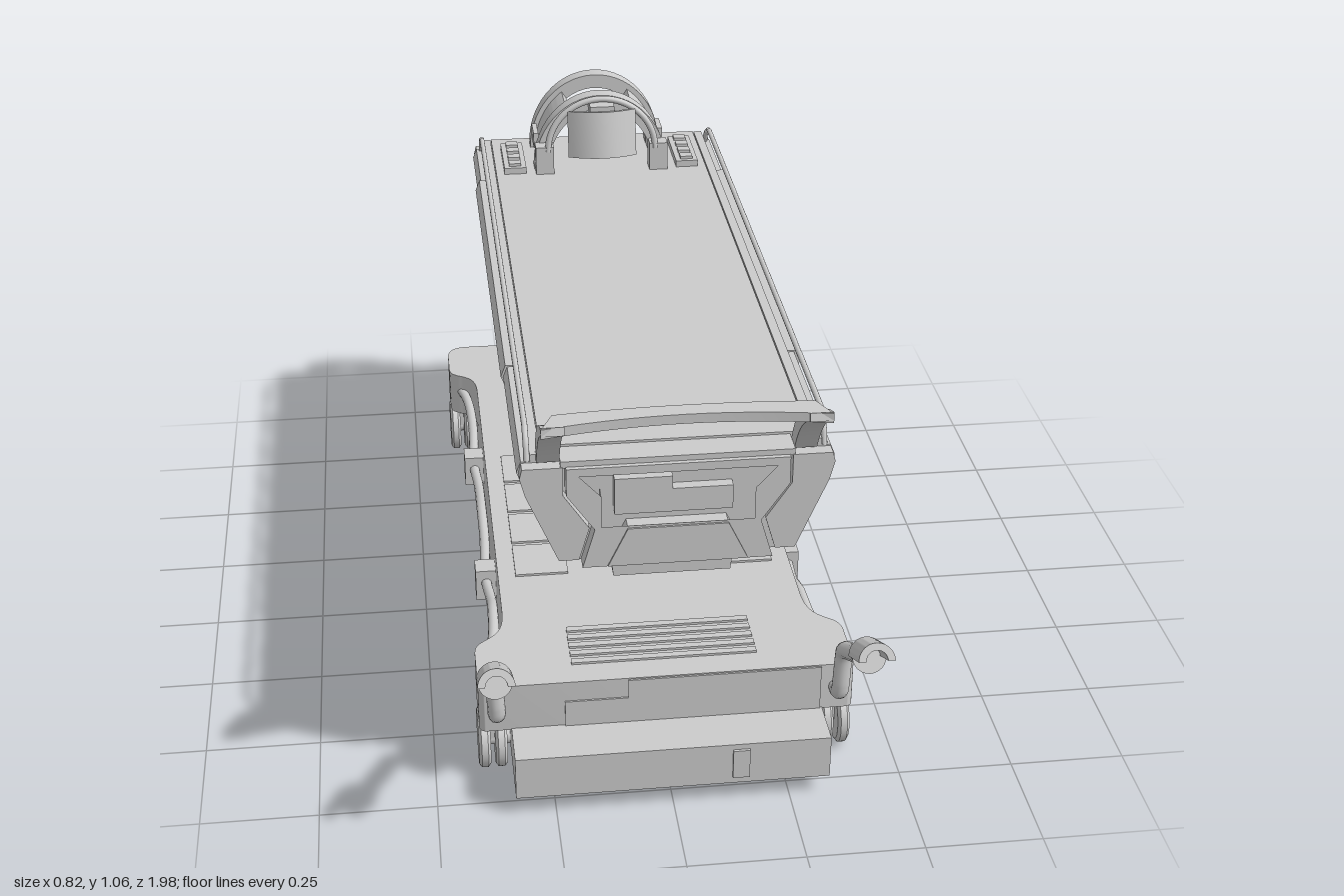
import * as THREE from 'three';
import { toCreasedNormals } from 'three/addons/utils/BufferGeometryUtils.js';

const mat = new THREE.MeshStandardMaterial({ color: 0xcccccc });

export function createModel() {
  const root = new THREE.Group();
  const add = (name, geo, parent = root) => {
    const m = new THREE.Mesh(geo, mat);
    m.name = name;
    parent.add(m);
    return m;
  };
  const box = (name, w, h, d, x, y, z) => {
    const m = add(name, new THREE.BoxGeometry(w, h, d));
    m.position.set(x, y, z);
    return m;
  };
  const poly = (pts) => new THREE.Shape(pts.map((p) => new THREE.Vector2(...p)));
  const smooth = (shape, depth) => toCreasedNormals(
    new THREE.ExtrudeGeometry(shape, { depth, bevelEnabled: false, curveSegments: 14 }), 0.6);
  // Extrude an (x, y) outline from z0 to z1
  const alongZ = (name, shape, z0, z1, parent) => add(name, smooth(shape, z1 - z0).translate(0, 0, z0), parent);
  // Extrude an (x, -z) plan from y0 to y1
  const alongY = (name, shape, y0, y1) =>
    add(name, smooth(shape, y1 - y0).rotateX(-Math.PI / 2).translate(0, y0, 0));
  const tube = (name, pts, r, tension = 0.5) => {
    const curve = new THREE.CatmullRomCurve3(pts.map((p) => new THREE.Vector3(...p)), false, 'catmullrom', tension);
    return add(name, new THREE.TubeGeometry(curve, 64, r, 12));
  };
  const mirrored = (half) => poly([...half, ...half.map(([x, y]) => [-x, y]).reverse()]);

  // Base: low plinth and waisted upper cover
  box('basePlinth', 0.67, 0.1, 1.8, 0, 0.098, -0.1);
  const plan = new THREE.Shape();
  plan.moveTo(-0.385, -0.69);
  plan.lineTo(0.385, -0.69);
  plan.quadraticCurveTo(0.403, -0.69, 0.403, -0.67);
  plan.lineTo(0.403, -0.56);
  plan.bezierCurveTo(0.4, -0.5, 0.337, -0.53, 0.335, -0.42);
  plan.lineTo(0.335, 0.64);
  plan.bezierCurveTo(0.337, 0.74, 0.4, 0.7, 0.403, 0.76);
  plan.lineTo(0.403, 0.84);
  plan.quadraticCurveTo(0.4, 0.89, 0.35, 0.89);
  plan.lineTo(-0.35, 0.89);
  plan.quadraticCurveTo(-0.4, 0.89, -0.403, 0.84);
  plan.lineTo(-0.403, 0.76);
  plan.bezierCurveTo(-0.4, 0.7, -0.337, 0.74, -0.335, 0.64);
  plan.lineTo(-0.335, -0.42);
  plan.bezierCurveTo(-0.337, -0.53, -0.4, -0.5, -0.403, -0.56);
  plan.lineTo(-0.403, -0.67);
  plan.quadraticCurveTo(-0.403, -0.69, -0.385, -0.69);
  alongY('baseCover', plan, 0.145, 0.258);
  alongZ('frontCoverPanel', poly([[-0.22, 0.147], [0.33, 0.147], [0.33, 0.255], [-0.085, 0.255],
    [-0.085, 0.21], [-0.22, 0.21]]), 0.68, 0.694);
  box('frontSocket', 0.036, 0.07, 0.01, 0.143, 0.1, 0.801);

  // Vents on the base top
  for (let i = 0; i < 5; i++) box('ventSlat', 0.4, 0.006, 0.016, 0, 0.26, 0.5 + i * 0.03);
  for (const s of [-1, 1]) {
    for (let i = 0; i < 4; i++) box('sideGrillePlate', 0.12, 0.006, 0.125, s * 0.235, 0.26, -0.21 + i * 0.14);
  }

  for (const s of [-1, 1]) {
    // Twin-wheel castors
    for (const z of [0.605, -0.8]) {
      for (const x of [0.356, 0.392]) {
        const outline = [[0, -0.013], [0.06, -0.013], [0.068, -0.007], [0.068, 0.007], [0.06, 0.013], [0, 0.013]];
        const wheel = add('wheel', toCreasedNormals(
          new THREE.LatheGeometry(outline.map((p) => new THREE.Vector2(...p)), 32), 0.6));
        wheel.rotation.z = Math.PI / 2;
        wheel.position.set(s * x, 0.07, z);
      }
      const axle = add('axle', new THREE.CylinderGeometry(0.02, 0.02, 0.07, 16));
      axle.rotation.z = Math.PI / 2;
      axle.position.set(s * 0.365, 0.07, z);
      box('castorFork', 0.012, 0.08, 0.04, s * 0.374, 0.115, z);
    }
    // Cable clipped along the side of the base
    tube('sideCable', [[0.385, 0.2, 0.56], [0.358, 0.207, 0.44], [0.352, 0.208, 0.33], [0.352, 0.182, 0.24],
      [0.358, 0.168, 0.13], [0.352, 0.178, -0.02], [0.352, 0.19, -0.14], [0.352, 0.17, -0.29],
      [0.358, 0.17, -0.4], [0.352, 0.19, -0.55], [0.36, 0.205, -0.68], [0.39, 0.213, -0.78]]
      .map(([x, y, z]) => [s * x, y, z]), 0.012);
    for (const z of [0.13, -0.4]) box('cableClip', 0.05, 0.078, 0.052, s * 0.357, 0.163, z);

    // Steering handle: bent tube, socket and half-shell grip
    tube('handleTube', [[0.366, 0.2, 0.68], [0.366, 0.205, 0.712], [0.367, 0.23, 0.72], [0.37, 0.3, 0.72],
      [0.37, 0.325, 0.735], [0.374, 0.35, 0.78], [0.375, 0.42, 0.9]].map(([x, y, z]) => [s * x, y, z]), 0.019);
    const grip = new THREE.Group();
    grip.name = 'handleGrip';
    grip.position.set(s * 0.375, 0.425, 0.895);
    grip.rotation.x = -0.48;
    root.add(grip);
    add('gripSocket', new THREE.CylinderGeometry(0.035, 0.028, 0.05, 24).rotateX(Math.PI / 2), grip);
    const shell = new THREE.Shape();
    shell.absarc(0, 0, 0.037, 0, Math.PI, false);
    shell.absarc(0, 0, 0.022, Math.PI, 0, true);
    alongZ('gripShell', shell, 0, 0.1, grip);
  }

  // Telescopic column, widening upwards
  const tiers = [[0.118, 0, -0.61, 0.255, 0.335], [0.128, 0.05, -0.65, 0.335, 0.41],
    [0.141, 0.1, -0.675, 0.41, 0.515], [0.151, 0.13, -0.7, 0.515, 0.63]];
  for (const [w, zf, zb, y0, y1] of tiers) {
    const c = new THREE.Shape(), r = 0.085, f = -zf, b = -zb, o = -0.012;
    c.moveTo(o - w + r, f);
    c.lineTo(o + w - r, f);
    c.quadraticCurveTo(o + w, f, o + w, f + r);
    c.lineTo(o + w, b - r);
    c.quadraticCurveTo(o + w, b, o + w - r, b);
    c.lineTo(o - w + r, b);
    c.quadraticCurveTo(o - w, b, o - w, b - r);
    c.lineTo(o - w, f + r);
    c.quadraticCurveTo(o - w, f, o - w + r, f);
    alongY('columnTier', c, y0, y1);
  }

  // Table: tapered body with recessed end frames
  const body = [[0.305, 0.853], [0.314, 0.83], [0.3, 0.79], [0.236, 0.638], [0.21, 0.638], [0.21, 0.622]];
  alongZ('tableBody', mirrored(body), -0.85, 0.78);
  const rim = mirrored([[0.22, 0.85], [0.22, 0.79], [0.165, 0.71], [0.19, 0.624]]);
  rim.holes.push(mirrored([[0.195, 0.832], [0.152, 0.785], [0.152, 0.715]]));
  const lowerPanel = mirrored([[0.1, 0.71], [0.14, 0.626]]);
  const plate = poly([[-0.125, 0.735], [0.11, 0.735], [0.11, 0.787], [-0.01, 0.787], [-0.01, 0.815], [-0.125, 0.815]]);
  for (const [z0, z1, out] of [[0.78, 0.815, 1], [-0.885, -0.85, -1]]) {
    alongZ('endFrame', rim, z0, z1);
    alongZ('endPlate', plate, z0 + (out < 0 ? 0.012 : 0), z1 - (out > 0 ? 0.012 : 0));
    alongZ('endLowerPanel', lowerPanel, z0 - (out < 0 ? 0.004 : 0), z1 + (out > 0 ? 0.004 : 0));
    // Corner wings close the ends outside the frame
    for (const s of [-1, 1]) {
      alongZ('endWing', poly([[0.226, 0.85], [0.305, 0.85], [0.31, 0.83], [0.3, 0.79], [0.236, 0.638],
        [0.196, 0.638], [0.175, 0.71], [0.226, 0.787]].map(([x, y]) => [s * x, y])),
      z0 + (out < 0 ? 0.008 : 0), z1 - (out > 0 ? 0.008 : 0));
    }
  }
  alongZ('underTableBox', mirrored([[0.13, 0.63], [0.12, 0.545]]), 0.4, 0.73);
  box('tableDeck', 0.53, 0.022, 1.62, 0, 0.856, -0.065);

  for (const s of [-1, 1]) {
    const side = (pts) => poly(pts.map(([x, y]) => [s * x, y]));
    alongZ('sideBand', side([[0.28, 0.856], [0.309, 0.856], [0.319, 0.83], [0.303, 0.788], [0.28, 0.788]]), -0.63, 0.38);
    alongZ('sidePocket', side([[0.25, 0.725], [0.277, 0.725], [0.294, 0.765], [0.25, 0.765]]), 0.41, 0.715);
    box('edgeTrim', 0.02, 0.02, 1.65, s * 0.277, 0.858, -0.045);
    // Thin side rail with bent ends
    tube('sideRail', [[0.293, 0.85, 0.775], [0.293, 0.88, 0.765], [0.293, 0.905, 0.735], [0.293, 0.909, 0.69],
      [0.293, 0.909, 0], [0.293, 0.909, -0.74], [0.293, 0.902, -0.79], [0.293, 0.88, -0.825], [0.293, 0.85, -0.84]]
      .map(([x, y, z]) => [s * x, y, z]), 0.006, 0.3);
  }

  // Push bar: curved blades joined by a bowed bar
  const blade = new THREE.Shape();
  blade.moveTo(0.755, 0.855);
  blade.quadraticCurveTo(0.8, 0.965, 0.925, 1.006);
  blade.lineTo(0.93, 0.99);
  blade.quadraticCurveTo(0.84, 0.95, 0.79, 0.855);
  for (const s of [-1, 1]) {
    add('pushBarBlade', smooth(blade, 0.045).rotateY(-Math.PI / 2).translate(s * 0.253 + 0.0225, 0, 0));
  }
  const bar = new THREE.Shape();
  bar.moveTo(-0.275, -0.93);
  bar.quadraticCurveTo(0, -0.87, 0.275, -0.93);
  bar.lineTo(0.25, -0.875);
  bar.quadraticCurveTo(0, -0.85, -0.25, -0.875);
  alongY('pushBarGrip', bar, 0.985, 1.005);
  box('pushBarFoot', 0.46, 0.014, 0.06, 0, 0.855, 0.775);

  // Head arch: two flanges with a body between them, open at the top
  const arc = (rx, ry, t, a0, a1) => {
    const pts = [];
    for (let i = 0; i <= 28; i++) {
      const a = a0 + (a1 - a0) * i / 28;
      pts.push([rx * Math.cos(a), 0.865 + ry * Math.sin(a)]);
    }
    for (let i = 28; i >= 0; i--) {
      const a = a0 + (a1 - a0) * i / 28;
      pts.push([(rx - t) * Math.cos(a), 0.865 + (ry - t) * Math.sin(a)]);
    }
    return poly(pts);
  };
  alongZ('archFlange', arc(0.167, 0.192, 0.035, 0, Math.PI), -0.7, -0.66);
  alongZ('archFlange', arc(0.167, 0.192, 0.035, 0, Math.PI), -0.85, -0.81);
  alongZ('archSide', arc(0.155, 0.178, 0.022, 0, 1.0), -0.81, -0.7);
  alongZ('archSide', arc(0.155, 0.178, 0.022, Math.PI - 1.0, Math.PI), -0.81, -0.7);
  for (const s of [-1, 1]) {
    // Button consoles and bail joints beside the arch
    box('console', 0.055, 0.022, 0.17, s * 0.217, 0.872, -0.72);
    for (let i = 0; i < 4; i++) box('consoleButton', 0.03, 0.008, 0.025, s * 0.217, 0.886, -0.785 + i * 0.042);
    box('archLatch', 0.012, 0.04, 0.07, s * 0.158, 0.92, -0.755);
    box('bailJoint', 0.045, 0.075, 0.04, s * 0.143, 0.9, -0.645);
  }
  // Tilted bail and curved head pad
  tube('bail', Array.from({ length: 13 }, (_, i) => {
    const a = Math.PI * i / 12;
    return [0.135 * Math.cos(a), 0.925 + 0.128 * Math.sin(a), -0.63 - 0.015 * Math.sin(a)];
  }), 0.008);
  const padPlan = new THREE.Shape();
  padPlan.moveTo(-0.085, 0.03);
  padPlan.quadraticCurveTo(0, -0.045, 0.085, 0.03);
  padPlan.quadraticCurveTo(0, 0.005, -0.085, 0.03);
  const pad = add('headPad', smooth(padPlan, 0.115).rotateX(-Math.PI / 2).translate(0, -0.0575, 0));
  pad.position.set(0, 0.978, -0.592);
  pad.rotation.x = -0.2;
  box('padBracket', 0.06, 0.03, 0.05, 0, 1.03, -0.635);

  return root;
}
